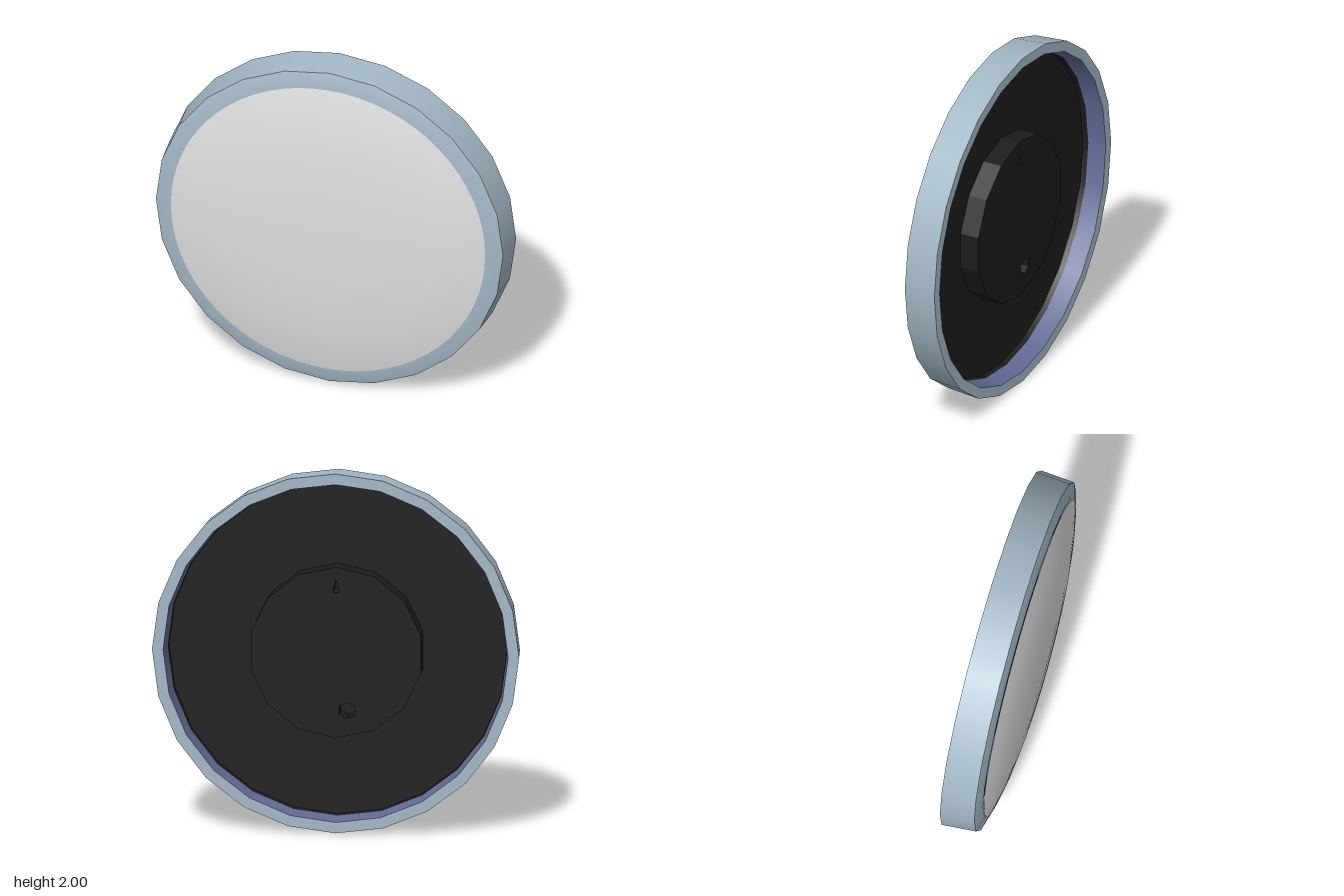
import * as THREE from 'three';

const material = (name, color) => new THREE.MeshStandardMaterial({ name, color });

export function createModel() {
  const frameBlue = material('frameBlue', 0xa3b8c6);
  const lensGrey = material('lensGrey', 0xdfdfdf);
  const innerIndigo = material('innerIndigo', 0x626a95);
  const backBlack = material('backBlack', 0x1c1c1c);

  const model = new THREE.Group();
  model.name = 'ceilingLight';
  const body = new THREE.Group();
  body.name = 'lightBody';
  body.position.y = 1;
  model.add(body);

  const add = (name, geometry, mat) => {
    const mesh = new THREE.Mesh(geometry, mat);
    mesh.name = name;
    body.add(mesh);
    return mesh;
  };

  // Turns a [radius, z] profile around the z axis
  const turn = (name, profile, sides, mat) => {
    const points = profile.map(([r, z]) => new THREE.Vector2(r, z));
    add(name, new THREE.LatheGeometry(points, sides).rotateX(Math.PI / 2), mat);
  };

  // Regular polygon outline, first corner at the top
  const polygon = (x, y, rx, ry, sides) => Array.from({ length: sides }, (_, i) => {
    const a = (i / sides) * Math.PI * 2;
    return new THREE.Vector2(x - Math.sin(a) * rx, y + Math.cos(a) * ry);
  });

  // Frame: separate strips keep the edges between them sharp
  const SIDES = 24;
  const FLOOR = -0.015;
  turn('frameSide', [[1, -0.145], [0.985, 0.045]], SIDES, frameBlue);
  turn('frameFront', [[0.985, 0.045], [0.9, 0.07], [0.86, 0.062]], SIDES, frameBlue);
  turn('frameBack', [[0.94, -0.145], [1, -0.145]], SIDES, frameBlue);
  turn('frameInside', [[0.925, -0.045], [0.94, -0.145]], SIDES, innerIndigo);

  // Domed diffuser
  turn('lens', [[0.892, 0.072], [0.78, 0.097], [0.63, 0.119], [0.46, 0.133],
    [0.3, 0.141], [0.15, 0.144], [0, 0.145]], 64, lensGrey);

  // Recessed back plate with its short black wall
  turn('backPlateWall', [[0.92, FLOOR], [0.925, -0.045]], SIDES, backBlack);
  turn('backPlate', [[0, FLOOR], [0.92, FLOOR]], SIDES, backBlack);

  // Raised mounting boss with two screw holes
  const outline = new THREE.Shape(polygon(0, 0, 0.475, 0.475, 14));
  outline.holes.push(
    new THREE.Path(polygon(0, 0.36, 0.02, 0.05, 3)),
    new THREE.Path(polygon(-0.06, -0.32, 0.05, 0.045, 6)),
  );
  const boss = new THREE.ExtrudeGeometry(outline, { depth: 0.11, bevelEnabled: false });
  add('mountingBoss', boss, backBlack).position.z = FLOOR - 0.11;

  return model;
}
